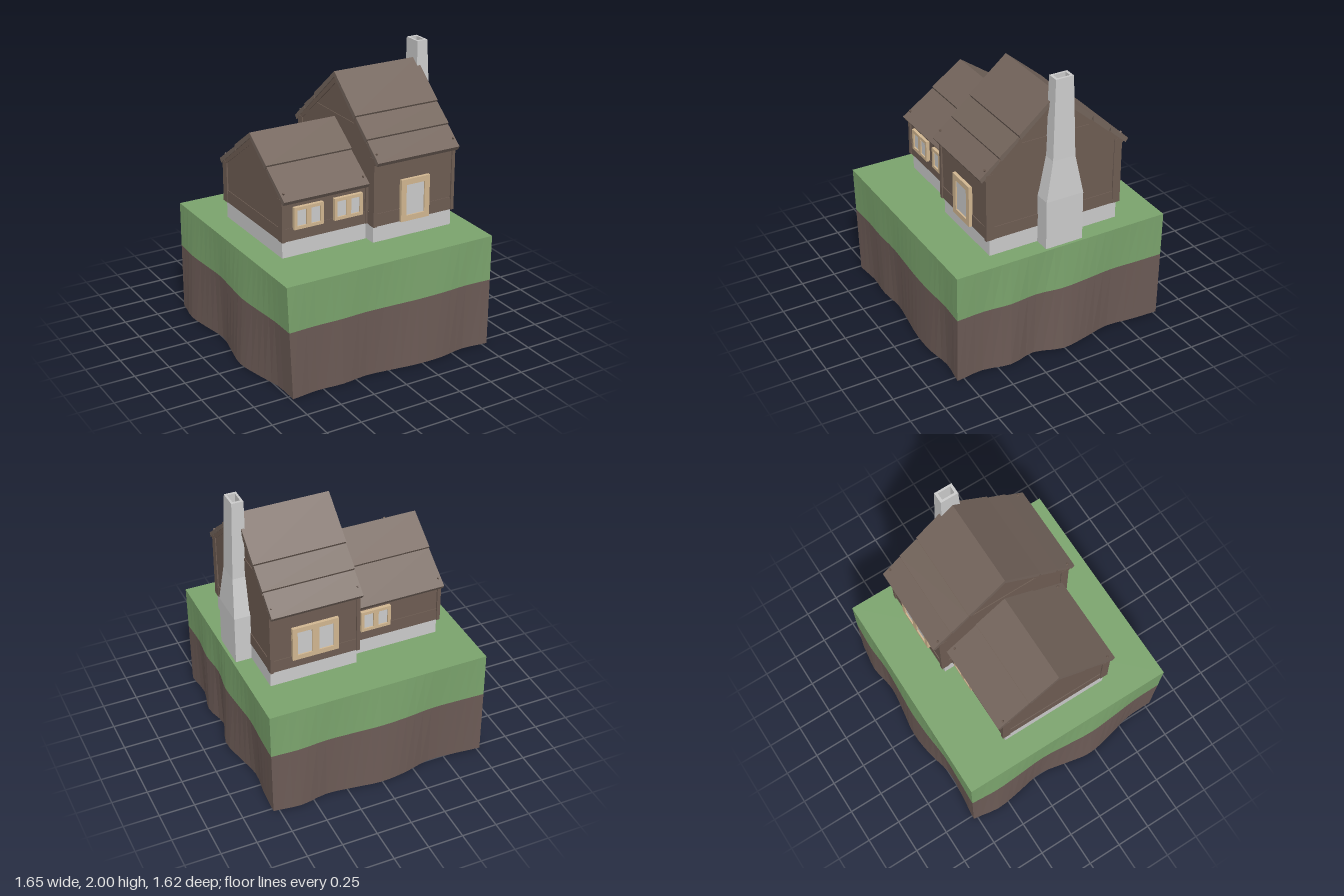
import * as THREE from 'three';

const mat = (color, side = THREE.FrontSide) =>
  new THREE.MeshStandardMaterial({ color, side, flatShading: true });
const wood = mat(0x6e5d53), roofWood = mat(0x73645b), trim = mat(0xd2b791), stone = mat(0xcccccc);
const grass = mat(0x7ba46d, THREE.DoubleSide), soil = mat(0x6c5b56, THREE.DoubleSide);
const ZC = 0.005; // ridge line

function add(parent, name, geometry, material) {
  const mesh = new THREE.Mesh(geometry, material);
  mesh.name = name;
  parent.add(mesh);
  return mesh;
}

function box(parent, name, material, x0, x1, y0, y1, z0, z1) {
  const g = new THREE.BoxGeometry(x1 - x0, y1 - y0, z1 - z0);
  g.translate((x0 + x1) / 2, (y0 + y1) / 2, (z0 + z1) / 2);
  return add(parent, name, g, material);
}

// Cross-section of [z, y] points carried along x
function prism(parent, name, material, pts, x0, x1) {
  const shape = new THREE.Shape(pts.map(([z, y]) => new THREE.Vector2(-z, y)));
  const g = new THREE.ExtrudeGeometry(shape, { depth: x1 - x0, bevelEnabled: false });
  g.rotateY(Math.PI / 2).translate(x0, 0, 0);
  return add(parent, name, g, material);
}

// Block of earth: four rippled sides, open underneath
function ground() {
  const g = new THREE.Group();
  g.name = 'ground';
  const top = [[-0.775, 0.795], [0.8, 0.795], [0.8, -0.78], [-0.775, -0.78]];
  const foot = [[-0.735, 0.79], [0.79, 0.8], [0.79, -0.775], [-0.775, -0.78]];
  const ripple = [ // outward offset of the bottom edge along each side
    [0, -0.02, -0.01, -0.03, -0.01, 0.012, 0.01, -0.02, 0],
    [0, -0.02, 0.02, -0.02, 0.04, 0.01, -0.03, -0.01, 0],
    [0, 0.022, -0.01, 0.01, 0.035, 0.015, -0.03, -0.02, 0],
    [0, 0.035, 0.015, -0.01, 0.03, 0.068, 0.04, 0.0, 0],
  ];
  const levels = [['grassSide', grass, 0.81, 0.485], ['soilSide', soil, 0.485, 0]];
  for (let s = 0; s < 4; s++) {
    const n = (s + 1) % 4;
    const out = [[0, 1], [1, 0], [0, -1], [-1, 0]][s];
    const curve = new THREE.SplineCurve(ripple[s].map((v, i) => new THREE.Vector2(i / 8, v)));
    for (const [name, material, yTop, yBottom] of levels) {
      const geo = new THREE.PlaneGeometry(1, 1, 24, 1);
      const p = geo.attributes.position;
      for (let i = 0; i < p.count; i++) {
        const u = p.getX(i) + 0.5;
        const y = p.getY(i) > 0 ? yTop : yBottom;
        const t = 1 - y / 0.81;
        const off = curve.getPoint(u).y;
        const at = k => THREE.MathUtils.lerp(
          THREE.MathUtils.lerp(top[s][k], top[n][k], u),
          THREE.MathUtils.lerp(foot[s][k], foot[n][k], u) + out[k] * off, t);
        p.setXYZ(i, at(0), y, at(1));
      }
      geo.computeVertexNormals();
      add(g, name, geo, material);
    }
  }
  const lawn = new THREE.ShapeGeometry(new THREE.Shape(top.map(([x, z]) => new THREE.Vector2(x, -z))));
  lawn.rotateX(-Math.PI / 2).translate(0, 0.81, 0);
  add(g, 'lawn', lawn, grass);
  return g;
}

// One gabled wing: footing, stacked planks, corner posts and overlapping roof boards
function wing(name, o) {
  const g = new THREE.Group();
  g.name = name;
  const { x0, x1, w, ridge, slope, rows, breaks, roofX } = o;
  box(g, 'foundation', stone, x0 + 0.008, x1 - 0.003, 0.8, 0.935, ZC - w + 0.018, ZC + w - 0.018);
  box(g, 'floor', wood, x0, x1, 0.78, 0.8, ZC - w, ZC + w);

  // wall planks, narrowed under the roof
  const apex = ridge - 0.033, eave = apex - slope * w;
  rows.forEach((y0, i) => {
    const y1 = i + 1 < rows.length ? rows[i + 1] : apex;
    const inset = [0, 0.005, 0.002][i % 3];
    const half = y => Math.max(Math.min(w - inset, (apex - y) / slope), 0.001);
    const ys = [y0];
    if (y0 < eave && y1 > eave) ys.push(eave);
    ys.push(y1);
    const right = ys.map(y => [ZC - half(y), y]);
    const left = ys.map(y => [ZC + half(y), y]).reverse();
    prism(g, 'wallPlank', wood, [...left.reverse(), ...right.reverse()].reverse(), x0 + inset, x1 - inset);
  });

  for (const s of [-1, 1]) {
    const z = ZC + s * w;
    // corner posts
    for (const [a, b] of [[x0 - 0.005, x0 + 0.02], [x1 - 0.02, x1 + 0.004]]) {
      box(g, 'cornerPost', wood, a, b, 0.93, eave, z - (s > 0 ? 0.05 : 0.008), z + (s > 0 ? 0.008 : 0.05));
    }
    // roof boards, each lapping over the one below
    for (let i = 0; i + 1 < breaks.length; i++) {
      const a = breaks[i], b = breaks[i + 1], end = i * 0.003;
      const lift = i + 2 < breaks.length ? 0.01 : 0;
      const y = d => ridge - slope * d;
      prism(g, 'roofBoard', roofWood, [
        [ZC + s * a, y(a) - (i ? 0.006 : 0)], [ZC + s * b, y(b) + lift * 0.4],
        [ZC + s * (b - 0.018), y(b) - 0.028], [ZC + s * a, y(a) - 0.038],
      ].sort(() => 0), roofX[0] + end, roofX[1] - end);
    }
    // rafters under the gable ends
    const e = breaks[breaks.length - 1] - 0.03;
    for (const x of [x0 - 0.003, x1 - 0.015]) {
      prism(g, 'rafter', wood, [
        [ZC, apex], [ZC + s * e, apex - slope * e],
        [ZC + s * (e - 0.02), apex - slope * e - 0.025], [ZC, apex - 0.05],
      ], x, x + 0.018);
    }
    // pegs at the eaves
    const d = breaks[breaks.length - 1] - 0.05;
    for (const x of [roofX[0] + 0.025, roofX[1] - 0.025]) {
      const peg = add(g, 'roofPeg', new THREE.CylinderGeometry(0.008, 0.008, 0.02, 6), wood);
      peg.position.set(x, ridge - slope * d + 0.003, ZC + s * d);
      peg.rotation.x = s * Math.atan(slope);
    }
  }
  return g;
}

// Framed opening with one or more panes; dir is +1 on the front, -1 on the back
function opening(name, x0, x1, y0, y1, z, dir, panes, border, mullion) {
  const g = new THREE.Group();
  g.name = name;
  const rect = (T, a, b, c, d) => {
    const r = new T();
    r.moveTo(a, c).lineTo(b, c).lineTo(b, d).lineTo(a, d).closePath();
    return r;
  };
  const shape = rect(THREE.Shape, x0, x1, y0, y1);
  const pw = (x1 - x0 - 2 * border - (panes - 1) * mullion) / panes;
  for (let i = 0; i < panes; i++) {
    const a = x0 + border + i * (pw + mullion);
    shape.holes.push(rect(THREE.Path, a, a + pw, y0 + border, y1 - border));
  }
  const geo = new THREE.ExtrudeGeometry(shape, { depth: 0.03, bevelEnabled: false });
  geo.translate(0, 0, z - 0.015 + dir * 0.003);
  add(g, 'frame', geo, trim);
  box(g, 'panes', stone, x0 + 0.01, x1 - 0.01, y0 + 0.01, y1 - 0.01, z - 0.008, z + 0.008);
  return g;
}

// Tapered chimney with an open flue, from square cross-sections
function chimney() {
  const g = new THREE.Group();
  g.name = 'chimney';
  const rings = [ // y, x0, x1, z0, z1
    [0.8, 0.655, 0.78, -0.145, 0.13], [1.16, 0.655, 0.778, -0.145, 0.13],
    [1.44, 0.655, 0.757, -0.09, 0.075], [2, 0.655, 0.737, -0.077, 0.053],
    [2, 0.67, 0.722, -0.058, 0.034], [1.8, 0.67, 0.722, -0.058, 0.034],
  ];
  const pos = [], idx = [];
  for (const [y, a, b, c, d] of rings) pos.push(a, y, d, b, y, d, b, y, c, a, y, c);
  for (let r = 0; r + 1 < rings.length; r++) {
    for (let k = 0; k < 4; k++) {
      const p = r * 4 + k, q = r * 4 + (k + 1) % 4;
      idx.push(p, q, q + 4, p, q + 4, p + 4);
    }
  }
  const f = (rings.length - 1) * 4;
  idx.push(f, f + 1, f + 2, f, f + 2, f + 3);
  const geo = new THREE.BufferGeometry();
  geo.setAttribute('position', new THREE.Float32BufferAttribute(pos, 3));
  geo.setIndex(idx);
  const flat = geo.toNonIndexed();
  flat.computeVertexNormals();
  add(g, 'chimneyStack', flat, stone);
  return g;
}

export function createModel() {
  const model = new THREE.Group();
  model.name = 'cottage';
  model.add(ground());
  model.add(wing('tallWing', {
    x0: 0.04, x1: 0.67, w: 0.5, ridge: 1.875, slope: 0.856, roofX: [0.03, 0.68],
    rows: [0.93, 1.02, 1.195, 1.44, 1.58], breaks: [0, 0.275, 0.415, 0.555],
  }));
  model.add(wing('lowWing', {
    x0: -0.6, x1: 0.045, w: 0.415, ridge: 1.56, slope: 0.72, roofX: [-0.61, 0.035],
    rows: [0.93, 1.02, 1.19, 1.34], breaks: [0, 0.225, 0.46],
  }));
  model.add(chimney());

  // door and windows
  model.add(opening('door', 0.243, 0.466, 0.93, 1.23, 0.508, 1, 1, 0.04, 0));
  model.add(opening('frontWindow', -0.52, -0.303, 1.01, 1.165, 0.423, 1, 2, 0.022, 0.036));
  model.add(opening('frontWindow', -0.22, -0.005, 1.01, 1.165, 0.423, 1, 2, 0.022, 0.036));
  model.add(opening('backWindow', -0.225, -0.008, 1.01, 1.165, -0.413, -1, 2, 0.022, 0.036));
  model.add(opening('largeBackWindow', 0.195, 0.52, 1.0, 1.25, -0.498, -1, 2, 0.035, 0.05));
  return model;
}
